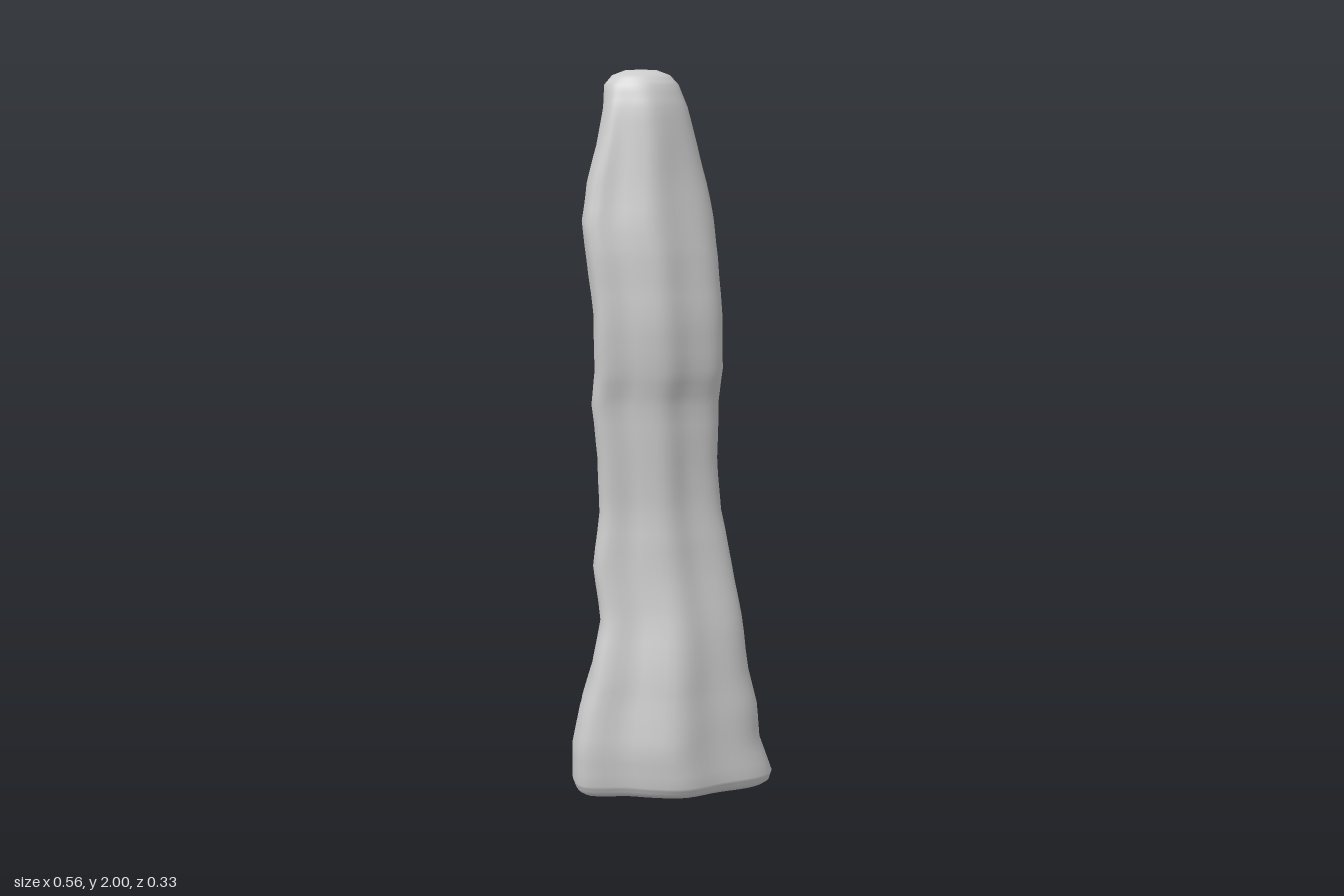
import * as THREE from 'three';

// Each level: y, xMin, xMax, zMin, zMax, roundness (0 = angular section, 1 = ellipse)
const LEVELS = [
  [0.015, -0.26, 0.255, -0.135, 0.135, 0],
  [0.025, -0.272, 0.272, -0.155, 0.15, 0],
  [0.05, -0.28, 0.28, -0.168, 0.163, 0],
  [0.15, -0.28, 0.245, -0.168, 0.166, 0],
  [0.25, -0.265, 0.237, -0.152, 0.155, 0],
  [0.35, -0.232, 0.217, -0.14, 0.143, 0],
  [0.5, -0.207, 0.193, -0.115, 0.112, 0],
  [0.65, -0.22, 0.17, -0.105, 0.087, 0],
  [0.8, -0.205, 0.137, -0.105, 0.077, 0],
  [0.95, -0.205, 0.13, -0.105, 0.082, 0],
  [1.1, -0.225, 0.13, -0.1, 0.09, 0],
  [1.2, -0.212, 0.145, -0.08, 0.11, 0],
  [1.35, -0.22, 0.138, -0.09, 0.12, 0],
  [1.5, -0.235, 0.13, -0.112, 0.112, 0.05],
  [1.6, -0.25, 0.115, -0.13, 0.1, 0.1],
  [1.7, -0.235, 0.095, -0.13, 0.086, 0.2],
  [1.8, -0.206, 0.07, -0.12, 0.072, 0.35],
  [1.9, -0.187, 0.042, -0.11, 0.058, 0.6],
  [1.96, -0.182, 0.018, -0.102, 0.038, 0.9],
  [1.985, -0.16, -0.005, -0.09, 0.018, 1],
  [1.998, -0.125, -0.04, -0.068, -0.008, 1],
];

// Angular cross-section, scaled to -1..1, running back, left, front, right
const OUTLINE = [
  [-0.9, -0.85], [-0.72, -0.92], [-0.25, -0.96], [0.18, -1], [0.38, -0.93], [0.86, -0.47],
  [1, 0.1], [0.86, 0.4], [0.48, 0.68], [0.1, 1], [-0.25, 0.93], [-0.48, 0.82],
  [-0.88, 0.78], [-1, 0.36], [-0.97, -0.3],
];
const SIDES = 60, STEPS = 3;

function createShaft() {
  const curve = new THREE.CatmullRomCurve3(
    OUTLINE.map(([x, z]) => new THREE.Vector3(x, 0, z)), true, 'centripetal');
  const section = curve.getSpacedPoints(SIDES).slice(0, SIDES);
  const pos = [], index = [];

  // Add one ring of vertices fitted to the level's limits
  function addRing([y, x0, x1, z0, z1, round]) {
    const cx = (x0 + x1) / 2, cz = (z0 + z1) / 2;
    const dent = 0.025 * THREE.MathUtils.smoothstep(y, 0.1, 0.4) * (1 - round);
    // The back leans in toward the left edge along the narrow waist
    const waist = 0.02 * Math.exp(-(((y - 0.85) / 0.35) ** 2));
    for (const p of section) {
      const a = Math.atan2(p.z, p.x);
      const u = THREE.MathUtils.lerp(p.x, Math.cos(a), round);
      const v = THREE.MathUtils.lerp(p.z, Math.sin(a), round);
      const s = 1 - dent * (1 + Math.sin(a * 3 + y * 9) * Math.cos(y * 13 - a * 2));
      const lean = v < 0 ? waist * (u + 0.9) * -v : 0;
      pos.push(cx + u * s * (x1 - x0) / 2, y, cz + v * s * (z1 - z0) / 2 + lean);
    }
  }

  // Rings up the shaft, with in-between levels
  let rings = 0;
  LEVELS.forEach((level, i) => {
    const next = LEVELS[i + 1];
    for (let k = 0; k < (next ? STEPS : 1); k++, rings++) {
      addRing(next ? level.map((n, j) => THREE.MathUtils.lerp(n, next[j], k / STEPS)) : level);
    }
  });
  for (let r = 0; r < rings - 1; r++) {
    for (let j = 0; j < SIDES; j++) {
      const a = r * SIDES + j, b = r * SIDES + (j + 1) % SIDES;
      const c = a + SIDES, d = b + SIDES;
      index.push(a, c, b, b, c, d);
    }
  }

  // Close the rounded tip and the slightly bulging underside
  const tip = pos.length / 3, base = tip + 1, last = (rings - 1) * SIDES;
  pos.push(-0.083, 2, -0.038, 0, 0, 0);
  for (let j = 0; j < SIDES; j++) {
    const n = (j + 1) % SIDES;
    index.push(last + j, tip, last + n, j, n, base);
  }

  const geo = new THREE.BufferGeometry();
  geo.setAttribute('position', new THREE.Float32BufferAttribute(pos, 3));
  geo.setIndex(index);
  geo.computeVertexNormals();
  return geo;
}

export function createModel() {
  const group = new THREE.Group();
  group.name = 'standingStone';
  const shaft = new THREE.Mesh(createShaft(), new THREE.MeshStandardMaterial({ color: 0xcccccc }));
  shaft.name = 'stoneShaft';
  group.add(shaft);
  return group;
}
